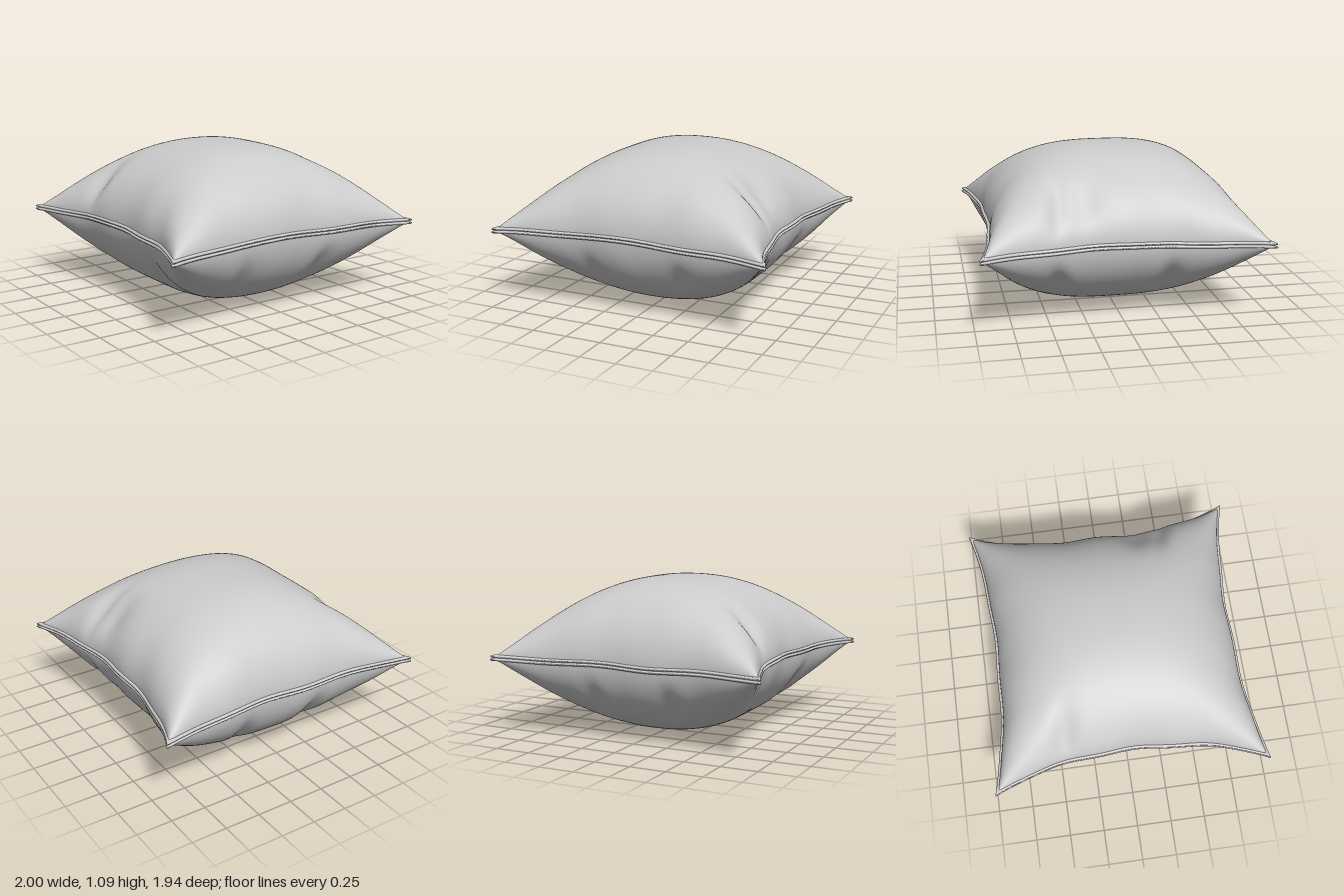
import * as THREE from 'three';
import { mergeVertices } from 'three/addons/utils/BufferGeometryUtils.js';

const MID = 0.545; // seam height, also the puff of each half

// Grid surface from fn(p, k), p and k in 0..1; flip turns the faces over
function surface(np, nk, fn, flip) {
  const pos = [], idx = [];
  for (let p = 0; p <= np; p++)
    for (let k = 0; k <= nk; k++) pos.push(...fn(p / np, k / nk));
  for (let p = 0; p < np; p++) {
    for (let k = 0; k < nk; k++) {
      const a = p * (nk + 1) + k, b = a + nk + 1;
      if (flip) idx.push(a, a + 1, b, b, a + 1, b + 1);
      else idx.push(a, b, a + 1, b, b + 1, a + 1);
    }
  }
  let g = new THREE.BufferGeometry();
  g.setAttribute('position', new THREE.Float32BufferAttribute(pos, 3));
  g.setIndex(idx);
  g = mergeVertices(g, 1e-5);
  g.computeVertexNormals();
  return g;
}

// Square (u, v) to the pinched plan outline with slightly wavy edges
function plan(u, v) {
  const au = Math.abs(u), av = Math.abs(v);
  const wx = 0.825 + 0.01 * u * (1 - v * v) + 0.175 * av ** 2.5 + 0.008 * Math.sin(11 * v + 2 * u) * (1 - v * v) * au ** 4;
  const wz = 0.865 + 0.105 * au ** 2.5 + 0.006 * Math.sin(10 * u + 3 * v) * (1 - u * u) * av ** 4;
  return [u * wx, v * wz];
}

// Gentle rise and fall of the seam, strongest at the rim
function seamWave(u, v) {
  const rim = Math.max(Math.abs(u), Math.abs(v)) ** 6;
  return rim * (1 - u * u * v * v) * (0.009 * v - 0.004 * u + 0.007 * Math.sin(7 * u - 5 * v + 1));
}

// Pulled-in dents beside the seam: u, v, depth, radius u, radius v, side (0 = both)
const DENTS = [
  [0.9, 0.3, 0.22, 0.18, 0.13, 1], [-0.95, -0.48, 0.3, 0.2, 0.09, 1],
  [0.9, 0.48, 0.2, 0.2, 0.07, 0], [0.35, 0.95, 0.22, 0.09, 0.16, -1],
  [-0.35, 0.95, 0.15, 0.08, 0.16, -1], [0.93, -0.35, 0.2, 0.18, 0.08, -1],
  [-0.93, 0.4, 0.22, 0.2, 0.08, -1], [-0.3, -0.95, 0.2, 0.08, 0.18, -1],
  [0.3, -0.95, 0.2, 0.08, 0.18, -1],
];

function puff(u, v, side) {
  const fu = Math.max(0, 1 - Math.abs(u) ** 2.2);
  const fv = Math.max(0, 1 - Math.abs(v) ** 2.75);
  let h = (MID - 0.008) * (fu * fv) ** 0.52;
  for (const [du, dv, depth, ru, rv, s] of DENTS) {
    if (s && s !== side) continue;
    h *= 1 - depth * Math.exp(-(((u - du) / ru) ** 2) - ((v - dv) / rv) ** 2);
  }
  // small gathers running in from the seam
  const gather = 0.03 * (Math.abs(u) ** 10 * Math.cos(17 * v + side) + Math.abs(v) ** 10 * Math.cos(17 * u - side));
  return h * (1 + gather) + 0.008;
}

// One half of the cushion cover, samples crowded toward the rim
function panel(side) {
  const ease = t => Math.sin((t - 0.5) * Math.PI);
  return surface(110, 110, (p, k) => {
    const u = ease(k), v = ease(p), [x, z] = plan(u, v);
    return [x * 0.978, MID + seamWave(u, v) + side * puff(u, v, side), z * 0.978];
  }, side < 0);
}

// Two-lipped seam cross-section: outline scale, height
const LIP = [[0.945, 0.012], [0.97, 0.022], [0.988, 0.021], [0.998, 0.014], [0.998, 0.007], [0.986, 0.001]];
const SECTION = [...LIP, ...LIP.slice().reverse().map(([s, y]) => [s + 0.002, -y])];

function seam() {
  const n = SECTION.length - 1;
  return surface(320, n, (p, k) => {
    const a = p * Math.PI * 2, c = Math.cos(a), s = Math.sin(a);
    const m = Math.max(Math.abs(c), Math.abs(s));
    const u = c / m, v = s / m, [x, z] = plan(u, v);
    const [scale, y] = SECTION[Math.round(k * n)];
    return [x * scale, MID + seamWave(u, v) + y, z * scale];
  });
}

export function createModel() {
  const group = new THREE.Group();
  group.name = 'cushion';
  const fabric = new THREE.MeshStandardMaterial({ color: 0xcccccc, side: THREE.DoubleSide });
  const add = (name, geometry) => {
    const mesh = new THREE.Mesh(geometry, fabric);
    mesh.name = name;
    group.add(mesh);
  };
  add('topPanel', panel(1));
  add('bottomPanel', panel(-1));
  add('edgeSeam', seam());
  return group;
}
